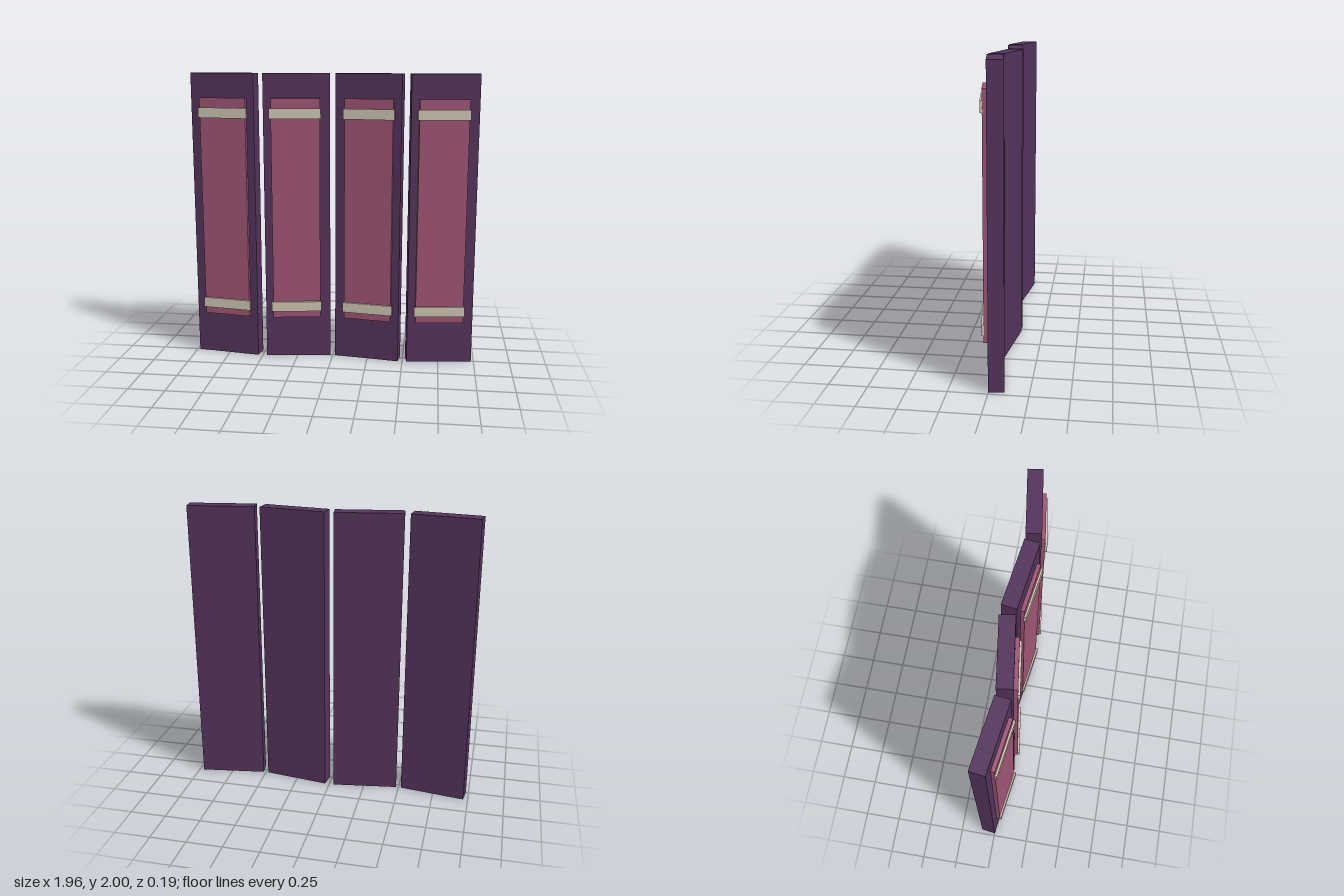
import * as THREE from 'three';

const material = (name, color) => {
  const m = new THREE.MeshStandardMaterial({ color });
  m.name = name;
  return m;
};

export function createModel() {
  const purple = material('purple', 0x53345a);
  const rose = material('rose', 0x9e5474);
  const cream = material('cream', 0xcdc5b1);

  const model = new THREE.Group();
  model.name = 'foldingScreen';

  const addBox = (parent, name, mat, size, y, z, turn) => {
    const mesh = new THREE.Mesh(new THREE.BoxGeometry(...size), mat);
    mesh.name = name;
    mesh.position.set(0, y, z);
    mesh.rotation.y = turn;
    parent.add(mesh);
  };

  // Four leaves, turned alternately to make a zigzag
  [-0.75, -0.25, 0.25, 0.75].forEach((x, i) => {
    const turn = (i % 2 ? 1 : -1) * 0.14;
    const leaf = new THREE.Group();
    leaf.name = `leaf${i + 1}`;
    leaf.position.x = x;

    addBox(leaf, 'board', purple, [0.455, 2, 0.1], 1, -0.016, turn);
    addBox(leaf, 'insetPanel', rose, [0.332, 1.54, 0.03], 1.065, 0.045, turn);
    // Lower and upper bands across the inset
    addBox(leaf, 'lowerBand', cream, [0.35, 0.07, 0.016], 0.378, 0.065, turn);
    addBox(leaf, 'upperBand', cream, [0.35, 0.07, 0.016], 1.733, 0.065, turn);

    model.add(leaf);
  });

  return model;
}
